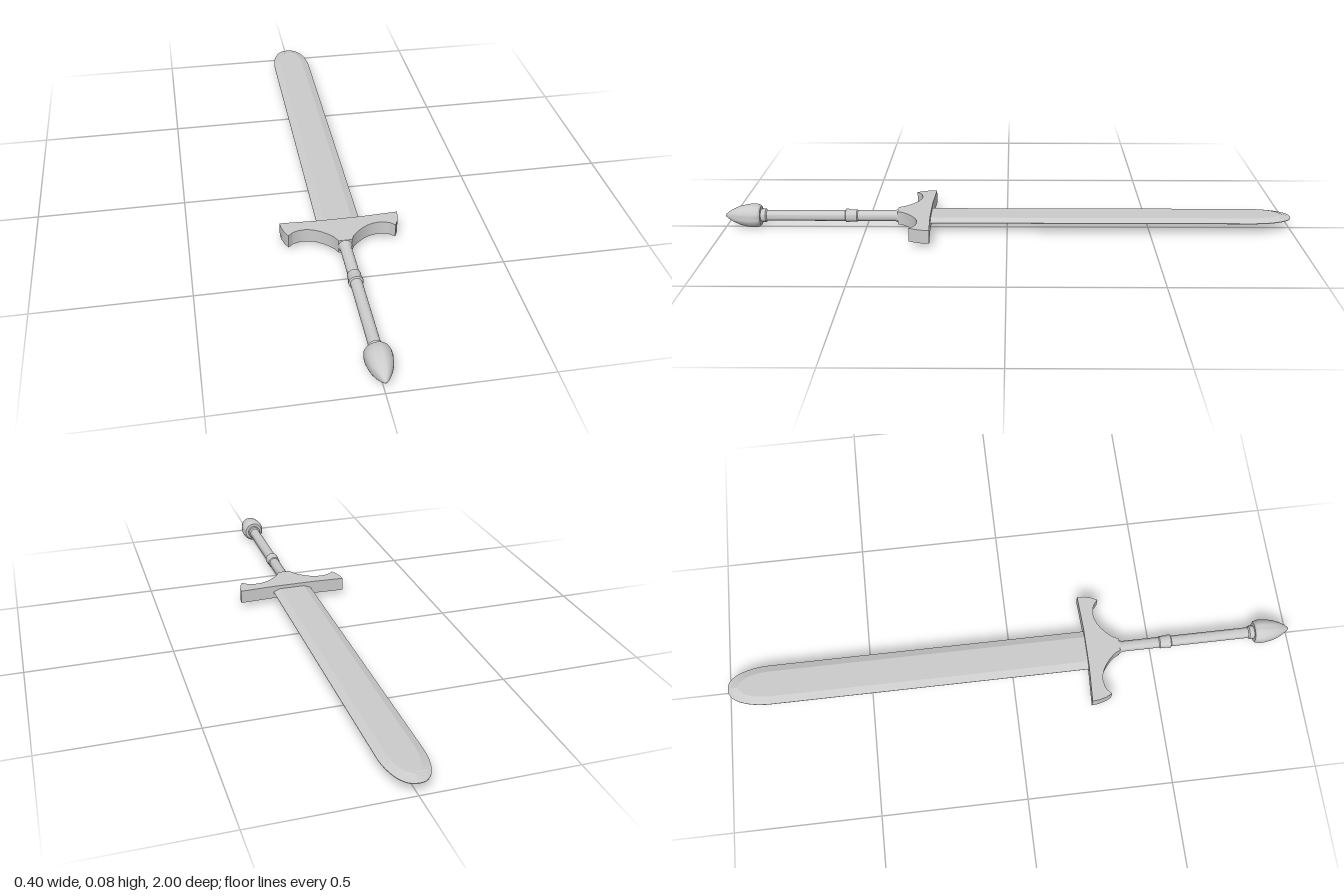
import * as THREE from 'three';
import { toCreasedNormals } from 'three/addons/utils/BufferGeometryUtils.js';

const AXIS_Y = 0.043; // height of the sword's long axis
const material = new THREE.MeshStandardMaterial({ color: 0xcccccc });

function addPart(group, name, geometry, crease = 0.5) {
  const mesh = new THREE.Mesh(toCreasedNormals(geometry, crease), material);
  mesh.name = name;
  mesh.position.y = AXIS_Y;
  group.add(mesh);
}

// Turned part along z from [radius, z] pairs
function turned(profile) {
  const points = profile.map(([r, z]) => new THREE.Vector2(r, z));
  return new THREE.LatheGeometry(points, 32).rotateX(Math.PI / 2);
}

// Bevelled blade lofted through hexagonal sections, with a rounded point
function bladeGeometry() {
  const sections = [[0.28, 0.072, 0.046, 0.011]];
  const steps = 14, tipStart = -0.85;
  for (let i = 0; i <= steps; i++) {
    const a = (i / steps) * Math.PI / 2;
    const w = 0.072 * Math.pow(Math.cos(a), 0.85);
    const z = tipStart - 0.15 * Math.sin(a);
    // the flat narrows to an inner arch, then the bevel meets the point
    const inner = Math.min(1, (z - tipStart) / -0.115);
    const flat = Math.min(0.046 * Math.sqrt(1 - inner * inner), w);
    const half = z > -0.965 ? 0.011 : 0.001 + 0.01 * (z + 1) / 0.035;
    sections.push([z, Math.max(w, 0.0005), flat, half]);
  }
  const e = 0.001;
  const positions = [], index = [], n = 8;
  for (const [z, w, f, h] of sections) {
    const ring = [[w, -e], [w, e], [f, h], [-f, h], [-w, e], [-w, -e], [-f, -h], [f, -h]];
    for (const [x, y] of ring) positions.push(x, y, z);
  }
  for (let j = 0; j < sections.length - 1; j++) {
    for (let i = 0; i < n; i++) {
      const a = j * n + i, b = j * n + (i + 1) % n;
      index.push(a, a + n, b, b, a + n, b + n);
    }
  }
  const last = (sections.length - 1) * n;
  for (let i = 1; i < n - 1; i++) {
    index.push(0, i, i + 1, last, last + i + 1, last + i);
  }
  const geometry = new THREE.BufferGeometry();
  geometry.setAttribute('position', new THREE.Float32BufferAttribute(positions, 3));
  geometry.setIndex(index);
  return geometry;
}

// Crossguard outline in x and z, mirrored about the middle and extruded in y
function guardGeometry() {
  const half = [
    [0.07, 0.268], [0.198, 0.262], [0.196, 0.285], [0.189, 0.311], [0.178, 0.333],
    [0.163, 0.319], [0.147, 0.312], [0.125, 0.309], [0.105, 0.312], [0.086, 0.319],
    [0.067, 0.331], [0.048, 0.347], [0.032, 0.365], [0.022, 0.386],
  ];
  const mirrored = half.map(([x, z]) => [-x, z]).reverse();
  const shape = new THREE.Shape([...half, ...mirrored].map(([x, z]) => new THREE.Vector2(x, z)));
  return new THREE.ExtrudeGeometry(shape, { depth: 0.048, bevelEnabled: false })
    .translate(0, 0, -0.024)
    .rotateX(Math.PI / 2);
}

export function createModel() {
  const group = new THREE.Group();
  group.name = 'sword';

  addPart(group, 'blade', bladeGeometry(), 0.15);
  addPart(group, 'crossguard', guardGeometry(), 0.3);

  // Grip with a flared collar at the guard
  addPart(group, 'grip', turned([
    [0, 0.37], [0.023, 0.37], [0.023, 0.388], [0.019, 0.397], [0.019, 0.87], [0, 0.87],
  ]));
  // Raised band around the middle of the grip
  addPart(group, 'gripBand', turned([
    [0.018, 0.527], [0.022, 0.532], [0.022, 0.557], [0.024, 0.562], [0.024, 0.57], [0.018, 0.574],
  ]));
  // Collar between grip and pommel
  addPart(group, 'pommelCollar', turned([
    [0.018, 0.85], [0.024, 0.855], [0.024, 0.866], [0.021, 0.876], [0, 0.876],
  ]));
  // Acorn-shaped pommel
  addPart(group, 'pommel', turned([
    [0, 0.872], [0.034, 0.872], [0.039, 0.877], [0.042, 0.89], [0.042, 0.905], [0.039, 0.925],
    [0.034, 0.946], [0.025, 0.967], [0.014, 0.986], [0.005, 0.997], [0, 1],
  ]));
  return group;
}
